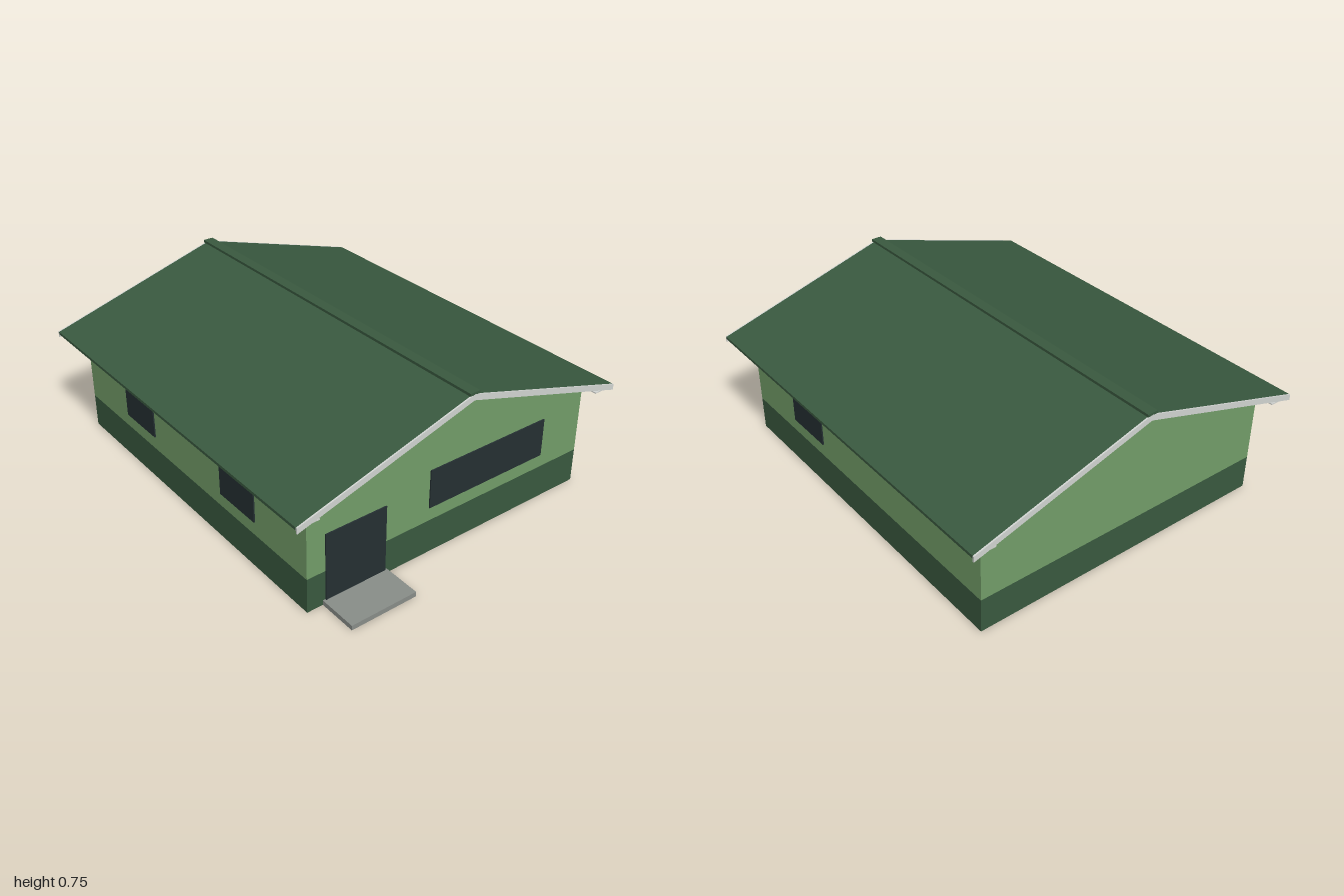
import * as THREE from 'three';

const mat = (name, color, side = THREE.FrontSide) => {
  const m = new THREE.MeshStandardMaterial({ color, side });
  m.name = name;
  return m;
};

export function createModel() {
  const model = new THREE.Group();
  model.name = 'bungalow';

  const lightGreen = mat('light green wall', 0x749f6a);
  const darkGreen = mat('dark green', 0x3a5a40);
  const trim = mat('pale trim', 0xd4d7d4);
  const concrete = mat('concrete', 0x8a8f8a);
  const glass = mat('dark glass', 0x253033);

  const add = (name, geometry, material) => {
    const mesh = new THREE.Mesh(geometry, material);
    mesh.name = name;
    model.add(mesh);
    return mesh;
  };
  // Box given by its minimum and maximum corners
  const box = (name, material, x0, x1, y0, y1, z0, z1) => {
    const mesh = add(name, new THREE.BoxGeometry(x1 - x0, y1 - y0, z1 - z0), material);
    mesh.position.set((x0 + x1) / 2, (y0 + y1) / 2, (z0 + z1) / 2);
    return mesh;
  };
  // Outline in x and y pushed from z0 to z1
  const prism = (name, material, points, z0, z1) => {
    const shape = new THREE.Shape(points.map(([x, y]) => new THREE.Vector2(x, y)));
    const geometry = new THREE.ExtrudeGeometry(shape, { depth: z1 - z0, bevelEnabled: false });
    geometry.translate(0, 0, z0);
    return add(name, geometry, material);
  };

  const W = 0.737, BACK = -0.905, FRONT = 0.82, BAND = 0.16, RIM = 0.02;
  const EAVE = 0.838, RIDGE = 0.745, SLOPE = 0.295;
  const ROOF_BACK = -1, ROOF_FRONT = 0.905, FASCIA = 0.007;
  const roofY = (x) => RIDGE - Math.abs(x) * SLOPE;

  // Dark lower wall: a hollow ring around the floor slab
  const rect = (inset) => [
    [-W + inset, -FRONT + inset], [W - inset, -FRONT + inset],
    [W - inset, -BACK - inset], [-W + inset, -BACK - inset],
  ].map(([x, y]) => new THREE.Vector2(x, y));
  const ring = new THREE.Shape(rect(0));
  ring.holes.push(new THREE.Path(rect(RIM)));
  const ringGeometry = new THREE.ExtrudeGeometry(ring, { depth: BAND, bevelEnabled: false });
  ringGeometry.rotateX(-Math.PI / 2);
  add('lowerWall', ringGeometry, darkGreen);
  box('floor', concrete, -W + RIM, W - RIM, 0, 0.03, BACK + RIM, FRONT - RIM);

  // Upper walls with both gables
  const under = 0.014;
  prism('upperWall', lightGreen, [
    [-W, BAND], [W, BAND], [W, roofY(W) - under], [0, RIDGE - under], [-W, roofY(W) - under],
  ], BACK, FRONT);

  // Roof slopes, gable fascia and eave soffits, mirrored left and right
  for (const s of [1, -1]) {
    const side = s > 0 ? 'left' : 'right';
    const slope = (depth) => [
      [0, RIDGE], [0, RIDGE - depth], [s * EAVE, roofY(EAVE) - depth], [s * EAVE, roofY(EAVE)],
    ];
    prism(side + 'RoofSlope', darkGreen, slope(0.013), ROOF_BACK + FASCIA, ROOF_FRONT - FASCIA);
    prism(side + 'FrontFascia', trim, slope(0.027), ROOF_FRONT - FASCIA, ROOF_FRONT);
    prism(side + 'BackFascia', trim, slope(0.027), ROOF_BACK, ROOF_BACK + FASCIA);
    const [a, b] = [s * (W - 0.005), s * (EAVE - 0.004)];
    box(side + 'Soffit', trim, Math.min(a, b), Math.max(a, b), 0.484, 0.489,
      ROOF_BACK + FASCIA, ROOF_FRONT - FASCIA);
  }
  box('ridgeCap', darkGreen, -0.025, 0.025, 0.742, 0.754, ROOF_BACK, ROOF_FRONT);

  // Door, windows and doorstep
  const P = 0.006;
  box('door', glass, -0.65, -0.355, 0.01, 0.335, FRONT - 0.002, FRONT + P);
  box('frontWindow', glass, -0.13, 0.508, 0.225, 0.405, FRONT - 0.002, FRONT + P);
  box('leftWindow', glass, W - 0.002, W + P, 0.225, 0.405, 0.232, 0.478);
  for (const z of [0.232, -0.55]) {
    box('rightWindow', glass, -W - P, -W + 0.002, 0.225, 0.405, z, z + 0.246);
  }
  box('doorstep', concrete, -0.662, -0.344, 0, 0.022, FRONT, 1);

  return model;
}
